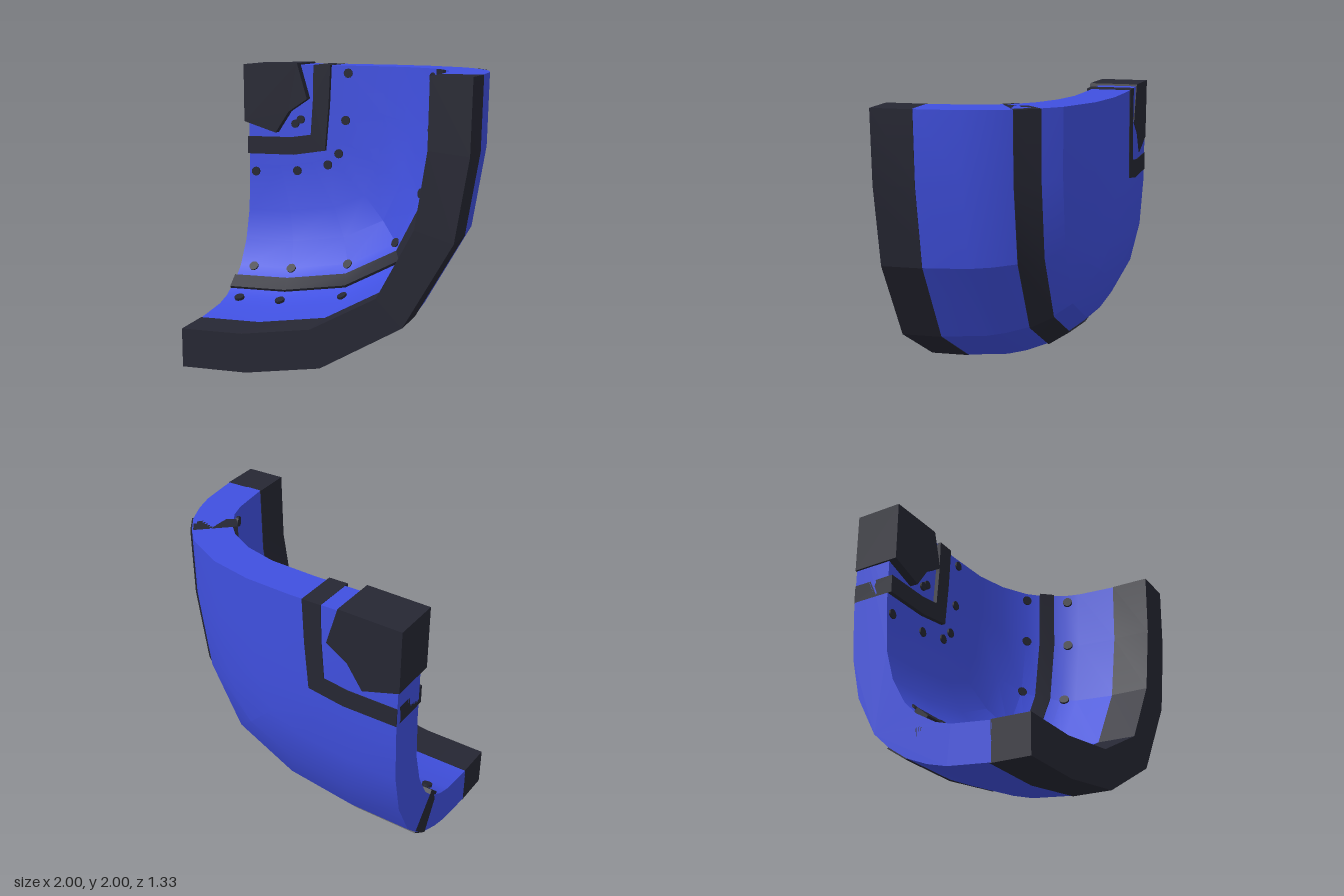
import * as THREE from 'three';
import { toCreasedNormals } from 'three/addons/utils/BufferGeometryUtils.js';

const blue = new THREE.MeshStandardMaterial({ color: 0x4050e0 });
const dark = new THREE.MeshStandardMaterial({ color: 0x262733 });

// Bowl centre; the bowl is a quarter of a rounded square swept about it
const CX = -0.99, CY = 1.99, STEPS = 6;

// Point at radius r, depth z and station t (0 = straight down, 6 = straight right).
// The outline gets squarer toward the middle.
function bowlPoint(r, z, t) {
  const k = THREE.MathUtils.clamp((1.98 - r) / 0.46, 0, 2.6);
  const side = [0, 0.237 + 0.039 * k, 0.505 + 0.067 * k, 0.785 + 0.035 * k, 0.948, 0.994, 1];
  const i = Math.min(Math.floor(t), STEPS - 1), f = t - i;
  const a = THREE.MathUtils.lerp(side[i], side[i + 1], f);
  const b = THREE.MathUtils.lerp(side[STEPS - i], side[STEPS - i - 1], f);
  return new THREE.Vector3(CX + r * a, CY - r * b, z);
}

// Sweep a closed counter-clockwise [x, z] section around the quarter, with end caps
function sweep(name, section, material) {
  const n = section.length, pos = [], index = [];
  for (let i = 0; i <= STEPS; i++)
    for (const [x, z] of section) pos.push(...bowlPoint(x - CX, z, i).toArray());
  for (let i = 0; i < STEPS; i++)
    for (let j = 0; j < n; j++) {
      const k = (j + 1) % n, a = i * n, b = a + n;
      index.push(a + j, b + j, b + k, a + j, b + k, a + k);
    }
  const flat = section.map(([x, z]) => new THREE.Vector2(x, z));
  for (const [a, b, c] of THREE.ShapeUtils.triangulateShape(flat, [])) {
    const e = STEPS * n;
    index.push(a, b, c, e + a, e + c, e + b);
  }
  const g = new THREE.BufferGeometry();
  g.setAttribute('position', new THREE.Float32BufferAttribute(pos, 3));
  g.setIndex(index);
  const mesh = new THREE.Mesh(toCreasedNormals(g, 0.3), material);
  mesh.name = name;
  return mesh;
}

// Flat outline pushed from z0 to z1
function plate(name, points, z0, z1) {
  const shape = new THREE.Shape(points.map(([x, y]) => new THREE.Vector2(x, y)));
  const g = new THREE.ExtrudeGeometry(shape, { depth: z1 - z0, bevelEnabled: false });
  g.translate(0, 0, z0);
  const mesh = new THREE.Mesh(g, dark);
  mesh.name = name;
  return mesh;
}

// Row of round studs lying on the inner wall; slope is dz/dr of the wall there
function studRow(name, r, z, slope, stations, radius) {
  const row = new THREE.Group();
  row.name = name;
  const g = new THREE.CylinderGeometry(radius, radius, 0.03, 12);
  const e = 0.01, up = new THREE.Vector3(0, 1, 0);
  for (const t of stations) {
    const p = bowlPoint(r, z, t);
    const across = bowlPoint(r + e, z + e * slope, t).sub(p);
    const along = bowlPoint(r, z, t + e).sub(bowlPoint(r, z, t - e));
    const stud = new THREE.Mesh(g, dark);
    stud.name = 'stud';
    stud.position.copy(p);
    stud.quaternion.setFromUnitVectors(up, across.cross(along).normalize());
    row.add(stud);
  }
  return row;
}

export function createModel() {
  const model = new THREE.Group();
  model.name = 'bowlQuarter';

  // Thick curved shell: back surface outward, then inner surface returning
  model.add(sweep('shell', [
    [CX, -0.665], [-0.25, -0.665], [0.08, -0.645], [0.37, -0.58], [0.64, -0.44],
    [0.75, -0.325], [0.845, -0.19], [0.91, -0.04], [0.95, 0.1], [0.985, 0.4],
    [0.725, 0.4], [0.69, 0.12], [0.655, 0.01], [0.57, -0.13], [0.48, -0.22],
    [0.3, -0.32], [0.08, -0.38], [-0.25, -0.4], [CX, -0.4],
  ], blue));

  // Heavy front rim and the strap around the shell
  model.add(sweep('frontRim', [[0.73, 0.66], [0.72, 0.395], [0.988, 0.39], [0.995, 0.66]], dark));
  model.add(sweep('strap', [[0.53, -0.125], [0.755, -0.335], [0.855, -0.19], [0.6, -0.045]], dark));

  // Angled bracket and corner hub, both passing through the back wall
  model.add(plate('bracket', [
    [-0.99, 1.335], [-0.62, 1.34], [-0.375, 1.38], [-0.345, 1.7], [-0.33, 1.992],
    [-0.46, 1.992], [-0.465, 1.75], [-0.485, 1.49], [-0.65, 1.465], [-0.99, 1.46],
  ], -0.67, -0.37));
  model.add(plate('cornerHub', [
    [-1, 1.575], [-0.75, 1.5], [-0.645, 1.655], [-0.5, 1.75], [-0.575, 2.003], [-1, 1.99],
  ], -0.67, -0.34));

  // Studs on the inner wall
  const around = [0.27, 1, 2, 3, 4, 5, 5.85];
  model.add(studRow('outerStuds', 1.65, 0.04, 2.9, around, 0.035));
  model.add(studRow('middleStuds', 1.475, -0.22, 0.9, around, 0.035));
  model.add(studRow('innerStuds', 0.79, -0.4, 0, [0.2, 1.45, 2.6, 3.4, 4.55, 5.8], 0.033));
  model.add(studRow('hubStuds', 0.47, -0.4, 0, [2.6, 3.2], 0.03));
  return model;
}
